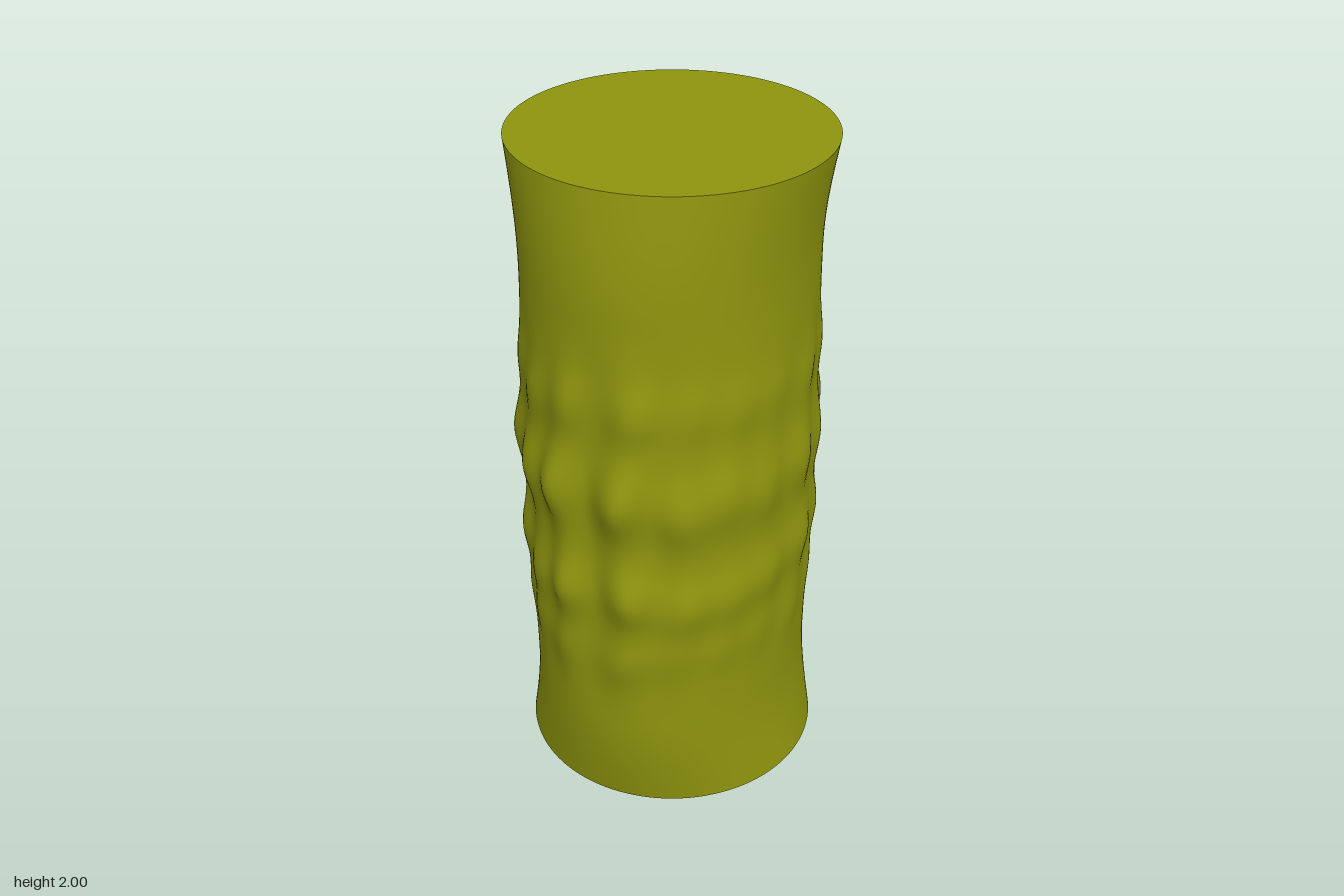
import * as THREE from 'three';

const SEG = 192, ROWS = 160, HEIGHT = 2, END_R = 0.45;

// Lumpy ridges: [angle from the front toward +x, strength]
const RIDGES = [
  [-0.37, 0.95], [0.1, 1], [0.48, 0.7], [0.78, 0.65], [1.07, 0.6], [1.45, 0.7],
  [1.85, 0.6], [2.2, 0.75], [2.45, 0.6], [2.75, 0.85], [3.19, 1], [3.65, 0.8],
  [4.04, 0.85], [4.4, 0.7], [4.88, 0.75], [5.23, 0.75], [5.58, 0.7],
];
// Rows of knobs along each ridge: [height, half length, strength]
const KNOBS = [[1.4, 0.085, 0.4], [1.1, 0.105, 1], [0.78, 0.09, 0.8], [0.56, 0.09, 0.35]];

const bell = (d, w) => Math.exp(-(d * d) / (w * w));
const smooth = THREE.MathUtils.smoothstep;

function seeded(seed) {
  return () => {
    seed = (seed * 16807) % 2147483647;
    return seed / 2147483647;
  };
}

// Each ridge gets slightly shifted knobs
function makeRidges() {
  const rnd = seeded(4711);
  return RIDGES.map(([angle, strength]) => ({
    angle, strength, width: 0.15 + rnd() * 0.03, phase: rnd() * 1.2,
    knobs: KNOBS.map(([y, len, s]) => [y + (rnd() - 0.5) * 0.07, len, s * (0.8 + rnd() * 0.3)]),
  }));
}

// Outward swelling of the bark at an angle and height
function swelling(ridges, phi, y) {
  const region = smooth(y, 0.3, 0.7) * (1 - smooth(y, 1.3, 1.65));
  if (region === 0) return 0;
  let sum = 0;
  for (const r of ridges) {
    const centre = r.angle + 0.06 * (y - 1.1) + 0.035 * Math.sin(y * 9 + r.phase);
    const d = Math.atan2(Math.sin(phi - centre), Math.cos(phi - centre));
    const across = bell(d, r.width);
    if (across < 0.001) continue;
    let along = 0.36;
    for (const [ky, len, s] of r.knobs) along += 0.64 * s * bell(y - ky, len);
    sum += across * along * r.strength;
  }
  const frontBack = Math.cos(phi) ** 2;
  return region * (sum * (0.056 + 0.024 * frontBack) - 0.008);
}

// Side wall: round at the ends, narrowed in x and widened in z between them
function wallGeometry() {
  const ridges = makeRidges();
  const pos = [], index = [];
  for (let j = 0; j <= ROWS; j++) {
    const y = (HEIGHT * j) / ROWS;
    const t = Math.min(y, HEIGHT - y);
    const bulge = 0.04 * Math.sin(Math.min(t / 0.34, 1) * Math.PI / 2);
    for (let i = 0; i < SEG; i++) {
      const phi = (i / SEG) * Math.PI * 2;
      const s = swelling(ridges, phi, y);
      pos.push((END_R - bulge + s) * Math.sin(phi), y, (END_R + bulge + s) * Math.cos(phi));
    }
  }
  for (let j = 0; j < ROWS; j++) {
    for (let i = 0; i < SEG; i++) {
      const a = j * SEG + i, b = j * SEG + ((i + 1) % SEG);
      index.push(a, b, b + SEG, a, b + SEG, a + SEG);
    }
  }
  const geo = new THREE.BufferGeometry();
  geo.setAttribute('position', new THREE.Float32BufferAttribute(pos, 3));
  geo.setIndex(index);
  geo.computeVertexNormals();
  return geo;
}

export function createModel() {
  const group = new THREE.Group();
  group.name = 'lumpyColumn';
  const olive = new THREE.MeshStandardMaterial({ color: 0x8e940e });
  olive.name = 'olive';

  const wall = new THREE.Mesh(wallGeometry(), olive);
  wall.name = 'lumpyWall';
  group.add(wall);

  // Flat round ends
  for (const [name, y, turn] of [['topCap', HEIGHT, -1], ['bottomCap', 0, 1]]) {
    const cap = new THREE.Mesh(new THREE.CircleGeometry(END_R, SEG), olive);
    cap.name = name;
    cap.rotation.x = (turn * Math.PI) / 2;
    cap.position.y = y;
    group.add(cap);
  }
  return group;
}
